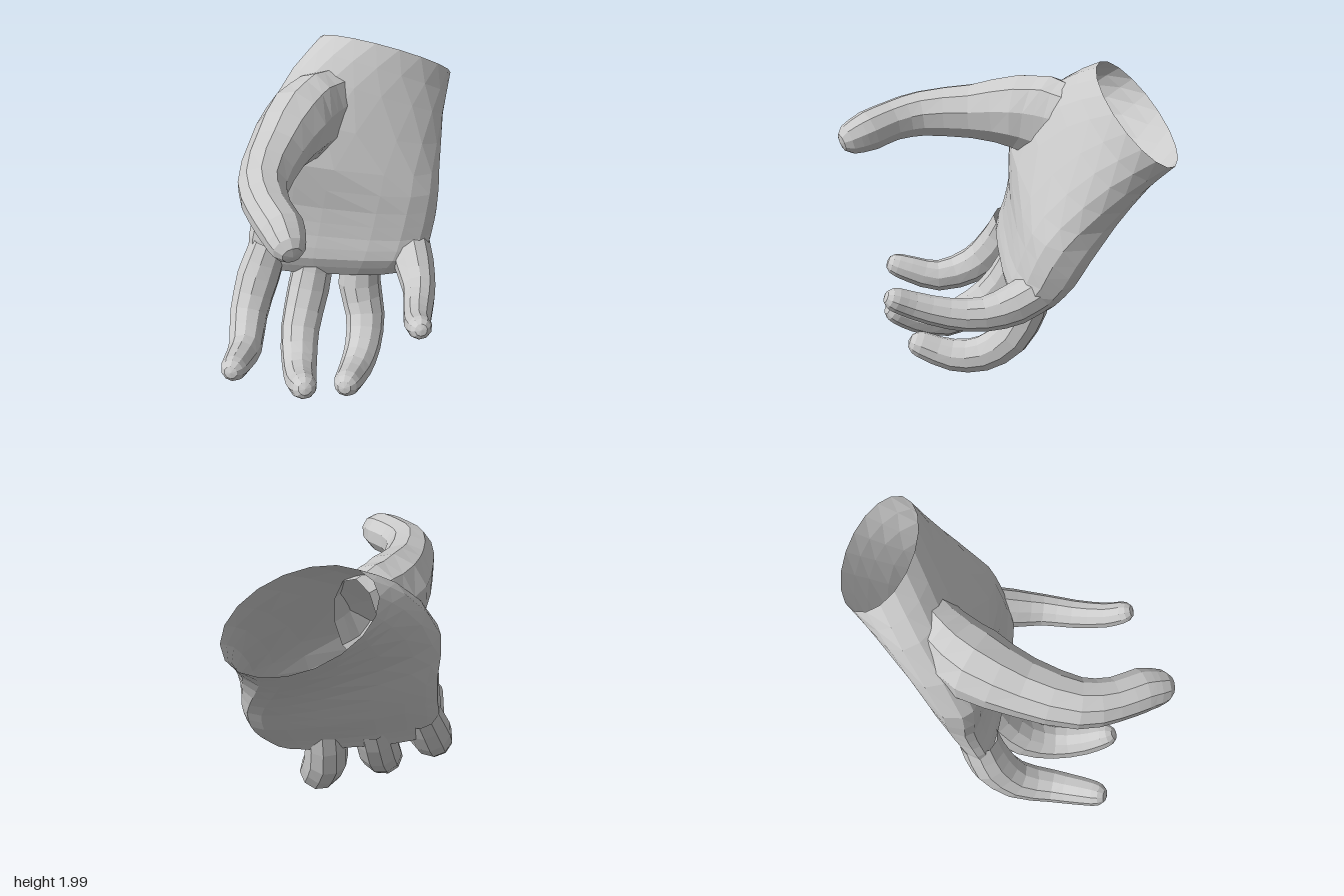
import * as THREE from 'three';

const V = (a) => new THREE.Vector3(...a);
const material = new THREE.MeshStandardMaterial({ color: 0xcccccc, flatShading: true, side: THREE.DoubleSide });

// Skin a list of rings and close the far end at the tip point.
function loft(name, rings, tip) {
  const n = rings[0].length;
  const pos = [];
  const index = [];
  rings.forEach((ring) => ring.forEach((p) => pos.push(p.x, p.y, p.z)));
  for (let i = 0; i < rings.length - 1; i++) {
    for (let j = 0; j < n; j++) {
      const a = i * n + j, b = i * n + ((j + 1) % n), c = b + n, d = a + n;
      index.push(a, b, d, b, c, d);
    }
  }
  const base = (rings.length - 1) * n;
  pos.push(tip.x, tip.y, tip.z);
  for (let j = 0; j < n; j++) index.push(base + j, base + ((j + 1) % n), base + n);
  const geometry = new THREE.BufferGeometry();
  geometry.setAttribute('position', new THREE.Float32BufferAttribute(pos, 3));
  geometry.setIndex(index);
  geometry.computeVertexNormals();
  const mesh = new THREE.Mesh(geometry, material);
  mesh.name = name;
  return mesh;
}

// Finger along a curve; each joint is [x, y, z, radius, optional radius across].
function finger(name, joints, sides = 10) {
  const curve = new THREE.CatmullRomCurve3(joints.map((j) => V(j)), false, 'centripetal');
  const steps = (joints.length - 1) * 2;
  const rings = [];
  let side = new THREE.Vector3(0, 1, 0);
  const addRing = (p, t, r, across) => {
    side = side.clone().addScaledVector(t, -side.dot(t)).normalize();
    const up = t.clone().cross(side);
    rings.push(Array.from({ length: sides }, (_, j) => {
      const a = (j / sides) * Math.PI * 2;
      return p.clone().addScaledVector(side, Math.cos(a) * r).addScaledVector(up, Math.sin(a) * across);
    }));
  };
  for (let i = 0; i <= steps; i++) {
    const u = i / steps;
    const f = u * (joints.length - 1);
    const k = Math.min(Math.floor(f), joints.length - 2);
    const [r, across] = [3, 4].map((c) =>
      THREE.MathUtils.lerp(joints[k][c] ?? joints[k][3], joints[k + 1][c] ?? joints[k + 1][3], f - k));
    addRing(curve.getPoint(u), curve.getTangent(u), r, across);
  }
  // rounded fingertip
  const end = curve.getPoint(1), t = curve.getTangent(1), r = joints.at(-1)[3];
  addRing(end.clone().addScaledVector(t, r * 0.5), t, r * 0.85, r * 0.85);
  addRing(end.clone().addScaledVector(t, r * 0.88), t, r * 0.5, r * 0.5);
  return loft(name, rings, end.clone().addScaledVector(t, r));
}

// Palm sections from wrist to knuckles: thumb-side edge, little-finger edge, half thickness.
const palmSections = [
  [[0.28, 1.99, -0.58], [0.96, 1.58, -0.47], [0.12, 0.05, 0.29]],
  [[0.02, 1.83, -0.58], [0.85, 1.42, -0.32], [0.02, 0.04, 0.27]],
  [[-0.34, 1.42, -0.54], [0.74, 1.2, -0.14], [-0.07, 0, 0.23]],
  [[-0.36, 1.12, -0.55], [0.67, 1.0, -0.01], [-0.1, 0, 0.175]],
  [[-0.4, 0.92, -0.53], [0.61, 0.84, 0.04], [-0.1, 0, 0.15]],
  [[-0.45, 0.74, -0.5], [0.52, 0.7, 0.08], [-0.08, 0.02, 0.125]],
  [[-0.37, 0.6, -0.46], [0.42, 0.59, 0.03], [-0.06, 0, 0.09]],
];

function palm(sides = 18) {
  const [inner, outer, depth] = [0, 1, 2].map((k) =>
    new THREE.CatmullRomCurve3(palmSections.map((s) => V(s[k]))));
  const steps = (palmSections.length - 1) * 2;
  const rings = [];
  for (let i = 0; i <= steps; i++) {
    const u = i / steps;
    const a = inner.getPoint(u), b = outer.getPoint(u), n = depth.getPoint(u);
    const centre = a.clone().add(b).multiplyScalar(0.5);
    const half = b.clone().sub(a).multiplyScalar(0.5);
    // round at the wrist, flatter towards the knuckles, hollow beside the thumb
    const w = Math.min(1, u * 2.5);
    const shape = (v) => Math.sign(v) * Math.abs(v) ** (1 - 0.27 * w);
    rings.push(Array.from({ length: sides }, (_, j) => {
      const t = (j / sides) * Math.PI * 2;
      const x = shape(Math.cos(t)), y = shape(Math.sin(t));
      return centre.clone().addScaledVector(half, x).addScaledVector(n, y > 0 ? y * (1 + 0.45 * w * x) : y);
    }));
  }
  const tip = rings.at(-1).reduce((s, p) => s.add(p), new THREE.Vector3()).divideScalar(sides);
  tip.y -= 0.03;
  return loft('palm', rings, tip);
}

// Every finger is rooted just inside the palm; the thumb flares into its web.
const fingers = {
  thumb: [[0.19, 1.6, -0.45, 0.25, 0.16], [0.02, 1.6, -0.42, 0.275, 0.19], [-0.16, 1.615, -0.35, 0.235, 0.21],
    [-0.4, 1.595, -0.18, 0.17], [-0.62, 1.575, 0.04, 0.142], [-0.69, 1.555, 0.22, 0.125],
    [-0.71, 1.53, 0.38, 0.125], [-0.73, 1.51, 0.46, 0.11]],
  indexFinger: [[-0.32, 0.77, -0.45, 0.125], [-0.43, 0.56, -0.43, 0.138],
    [-0.57, 0.38, -0.33, 0.122], [-0.71, 0.31, -0.14, 0.105], [-0.84, 0.36, 0.0, 0.09], [-0.9, 0.39, 0.06, 0.08]],
  middleFinger: [[-0.06, 0.72, -0.31, 0.125], [-0.16, 0.46, -0.26, 0.135],
    [-0.31, 0.25, -0.14, 0.125], [-0.43, 0.16, 0.04, 0.112], [-0.53, 0.21, 0.22, 0.097], [-0.58, 0.28, 0.33, 0.082]],
  ringFinger: [[0.18, 0.72, -0.16, 0.125], [0.15, 0.45, -0.13, 0.138], [0.12, 0.26, -0.02, 0.127],
    [0.01, 0.14, 0.11, 0.115], [-0.14, 0.115, 0.24, 0.103], [-0.29, 0.18, 0.37, 0.085]],
  littleFinger: [[0.44, 0.78, 0.0, 0.125], [0.36, 0.69, 0.17, 0.125],
    [0.27, 0.65, 0.34, 0.103], [0.14, 0.665, 0.5, 0.092], [0.01, 0.73, 0.66, 0.08], [-0.04, 0.78, 0.745, 0.072]],
};

export function createModel() {
  const hand = new THREE.Group();
  hand.name = 'hand';
  hand.add(palm());
  for (const [name, joints] of Object.entries(fingers)) hand.add(finger(name, joints));
  return hand;
}
